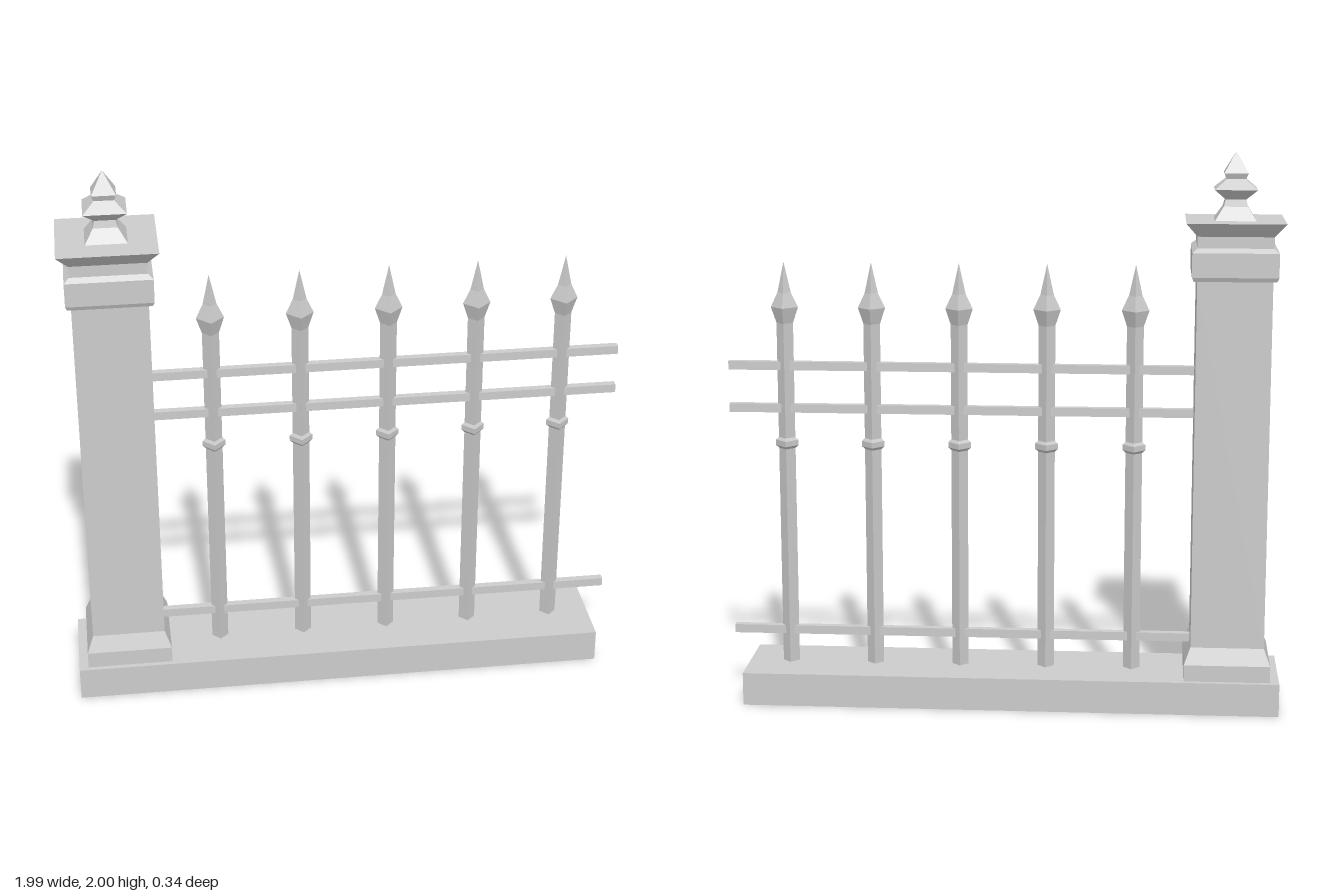
import * as THREE from 'three';

const material = new THREE.MeshStandardMaterial({ color: 0xcccccc, flatShading: true, side: THREE.DoubleSide });

function addMesh(parent, name, geometry, x = 0, y = 0) {
  const mesh = new THREE.Mesh(geometry, material);
  mesh.name = name;
  mesh.position.set(x, y, 0);
  parent.add(mesh);
  return mesh;
}

// Four-sided solid from [half width, height] pairs, sides facing the axes
function squareProfile(points) {
  const pts = points.map(([h, y]) => new THREE.Vector2(h * Math.SQRT2, y));
  return new THREE.LatheGeometry(pts, 4, Math.PI / 4);
}

// Four-sided solid with its corners on the axes
function diamondProfile(points) {
  return new THREE.LatheGeometry(points.map(([r, y]) => new THREE.Vector2(r, y)), 4);
}

// Box without its underside
function openBox(w, h, d) {
  const geometry = new THREE.BoxGeometry(w, h, d);
  const index = Array.from(geometry.index.array);
  index.splice(18, 6);
  geometry.setIndex(index);
  geometry.clearGroups();
  return geometry;
}

export function createModel() {
  const model = new THREE.Group();
  model.name = 'fenceSection';

  // Plinth
  addMesh(model, 'plinth', openBox(1.935, 0.12, 0.345), -0.0325, 0.06);

  // Pillar with flared foot, moulded capital and finial
  const pillar = new THREE.Group();
  pillar.name = 'pillar';
  pillar.position.x = -0.813;
  model.add(pillar);
  addMesh(pillar, 'pillarShaft', squareProfile([
    [0.154, 0.12], [0.154, 0.18], [0.131, 0.24], [0.131, 1.56],
  ]));
  addMesh(pillar, 'capital', squareProfile([
    [0.131, 1.56], [0.143, 1.56], [0.15, 1.575], [0.15, 1.66], [0.132, 1.675],
    [0.132, 1.715], [0.172, 1.763], [0, 1.763],
  ]));
  addMesh(pillar, 'finial', squareProfile([
    [0.072, 1.763], [0.042, 1.81], [0.036, 1.835], [0.074, 1.87],
    [0.034, 1.905], [0.042, 1.925], [0, 2],
  ]));

  // Horizontal rails
  for (const y of [0.24, 1.07, 1.225]) {
    addMesh(model, 'rail', openBox(1.67, 0.031, 0.027), 0.155, y);
  }

  // Pickets with collar and spearhead
  const shaft = diamondProfile([[0.03, 0.12], [0.03, 1.39]]);
  const collar = diamondProfile([
    [0.03, 0.922], [0.041, 0.932], [0.041, 0.952], [0.03, 0.962],
  ]);
  const spearhead = diamondProfile([
    [0, 1.38], [0.03, 1.38], [0.049, 1.437], [0.024, 1.49], [0, 1.6],
  ]);
  for (let i = 0; i < 5; i++) {
    const picket = new THREE.Group();
    picket.name = 'picket';
    picket.position.x = -0.47 + i * 0.3135;
    model.add(picket);
    addMesh(picket, 'picketShaft', shaft);
    addMesh(picket, 'collar', collar);
    addMesh(picket, 'spearhead', spearhead);
  }

  return model;
}
